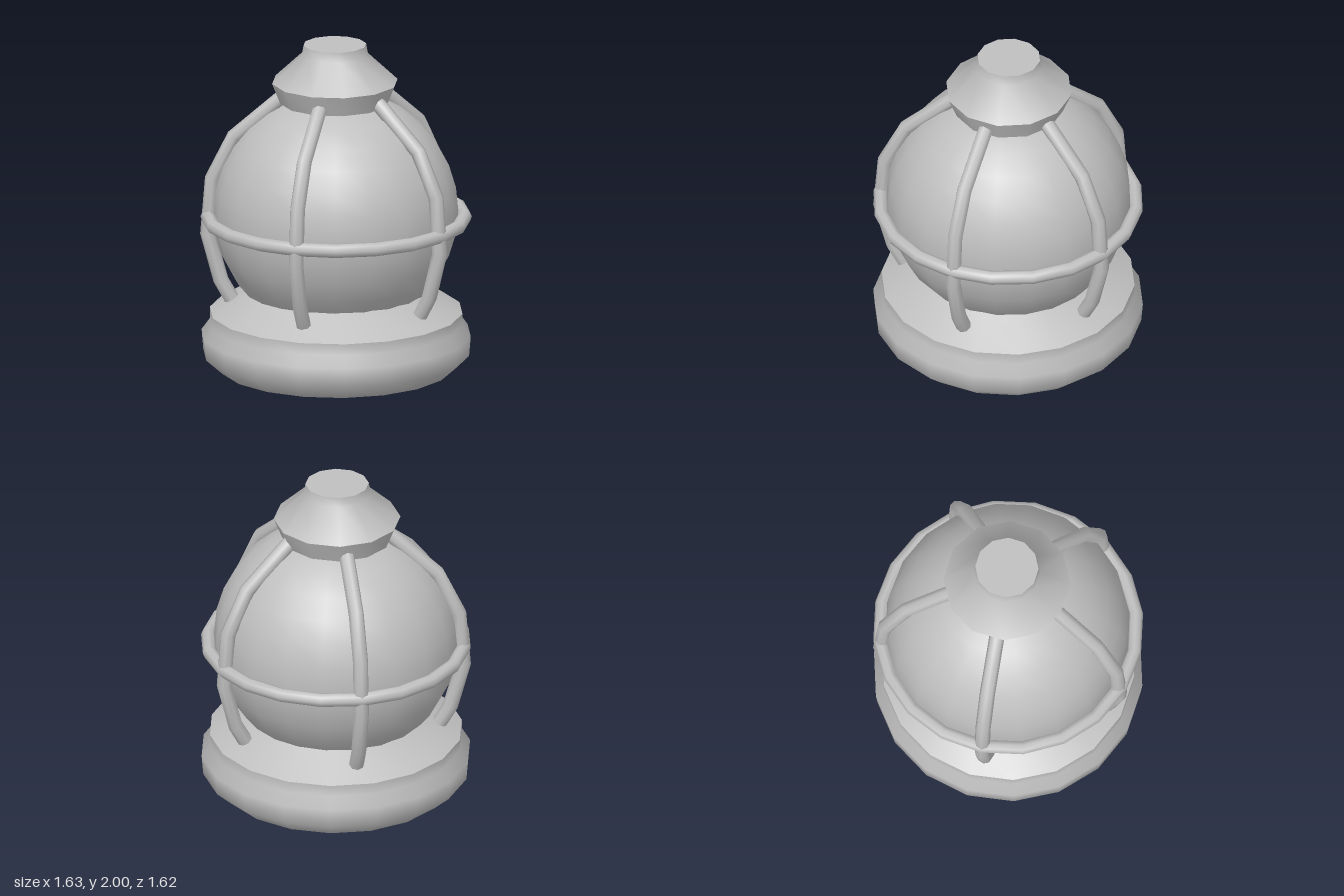
import * as THREE from 'three';
import { toCreasedNormals } from 'three/addons/utils/BufferGeometryUtils.js';

// Straight-segment path whose samples land exactly on its points
class Polyline extends THREE.Curve {
  constructor(points) {
    super();
    this.points = points;
  }
  getPoint(t, target = new THREE.Vector3()) {
    const n = this.points.length - 1;
    const i = Math.min(Math.floor(t * n), n - 1);
    return target.lerpVectors(this.points[i], this.points[i + 1], t * n - i);
  }
  getPointAt(u, target) { return this.getPoint(u, target); }
  getTangentAt(u, target) { return this.getTangent(u, target); }
}

export function createModel() {
  const group = new THREE.Group();
  const metal = new THREE.MeshStandardMaterial({ color: 0xbfbfbf });
  metal.name = 'grey';

  const add = (name, geometry, parent = group) => {
    const mesh = new THREE.Mesh(geometry, metal);
    mesh.name = name;
    parent.add(mesh);
    return mesh;
  };
  const lathe = (profile, sides, phase) => toCreasedNormals(
    new THREE.LatheGeometry(profile.map(([r, y]) => new THREE.Vector2(r, y)), sides, phase),
    THREE.MathUtils.degToRad(48));

  // Stepped round base
  add('base', lathe([[0, 0], [0.7, 0], [0.8, 0.09], [0.81, 0.21], [0.76, 0.28],
    [0.76, 0.35], [0.61, 0.44], [0.53, 0.49]], 18, 0));

  // Lamp globe
  const globe = add('globe', new THREE.SphereGeometry(0.735, 20, 16));
  globe.position.set(-0.005, 0.97, 0);

  // Flared cap with a short neck
  const cap = add('cap', lathe([[0.2, 1.63], [0.33, 1.645], [0.38, 1.77], [0.2, 1.94],
    [0.19, 2], [0, 2]], 12, Math.PI / 12));
  cap.position.x = -0.01;

  // Cage: five bent ribs and one ring
  const cage = new THREE.Group();
  cage.name = 'cage';
  group.add(cage);
  const ribPath = new Polyline([[0.25, 1.73], [0.34, 1.66], [0.61, 1.43], [0.74, 1.17],
    [0.768, 0.83], [0.69, 0.54], [0.6, 0.38]].map(([x, y]) => new THREE.Vector3(x, y, 0)));
  const ribGeometry = new THREE.TubeGeometry(ribPath, 6, 0.046, 8);
  for (let i = 0; i < 5; i++) {
    const rib = add('rib', ribGeometry, cage);
    rib.rotation.y = i * Math.PI * 2 / 5;
  }
  const ring = add('ring', new THREE.TorusGeometry(0.77, 0.042, 8, 20), cage);
  ring.rotation.x = Math.PI / 2;
  ring.position.y = 0.932;

  return group;
}
